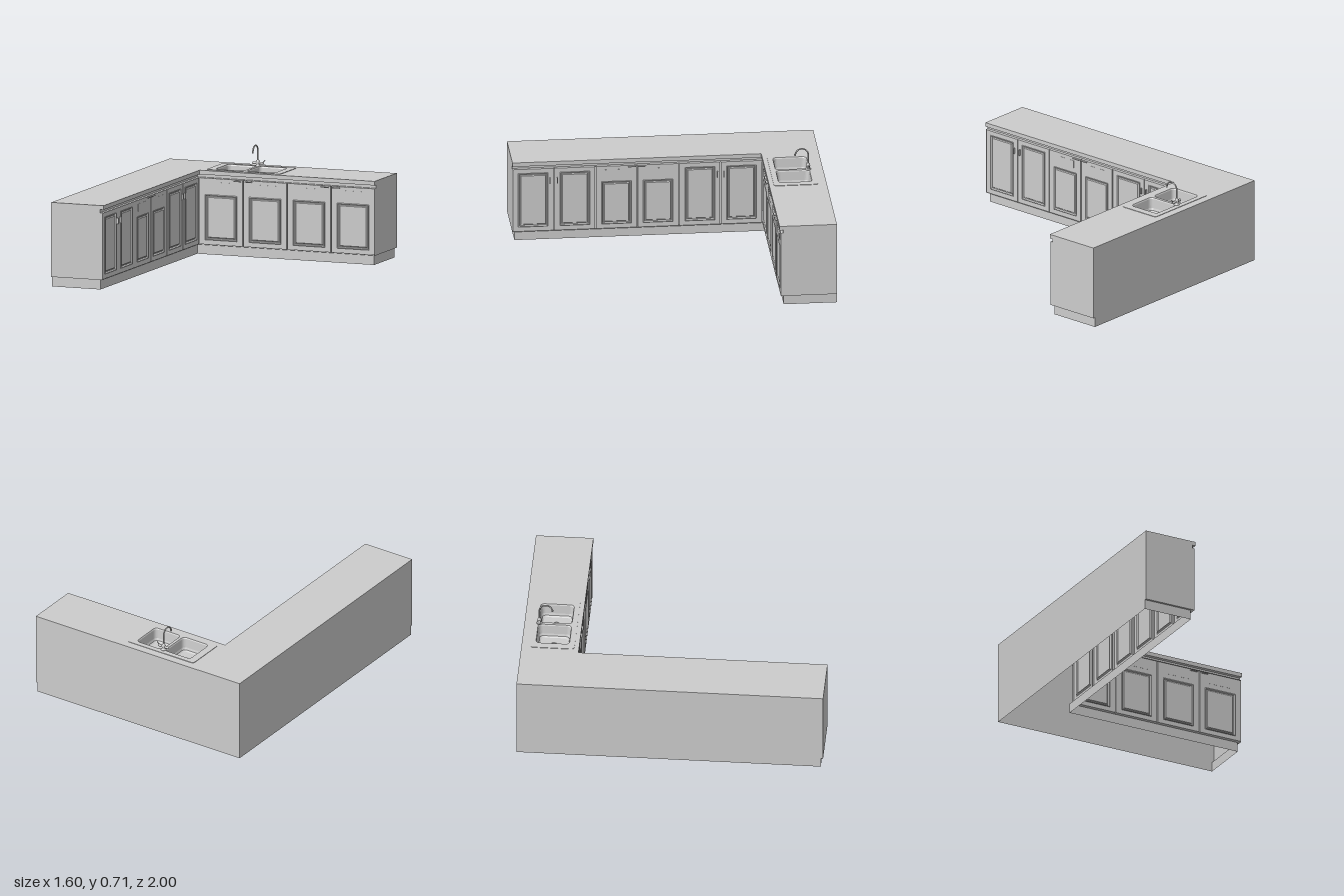
import * as THREE from 'three';

const material = new THREE.MeshStandardMaterial({ color: 0xcccccc, side: THREE.DoubleSide });
const V = (x, y, z) => new THREE.Vector3(x, y, z);

function add(parent, name, geometry, x = 0, y = 0, z = 0) {
  const mesh = new THREE.Mesh(geometry, material);
  mesh.name = name;
  mesh.position.set(x, y, z);
  parent.add(mesh);
  return mesh;
}

// Skin of flat quads between equal-length closed rings; skip(row, edge) leaves openings.
function loft(rings, skip = () => false) {
  const pos = [];
  for (let r = 0; r < rings.length - 1; r++) {
    const a = rings[r], b = rings[r + 1], n = a.length;
    for (let i = 0; i < n; i++) {
      if (skip(r, i)) continue;
      const j = (i + 1) % n;
      for (const p of [a[i], a[j], b[j], a[i], b[j], b[i]]) pos.push(p.x, p.y, p.z);
    }
  }
  const g = new THREE.BufferGeometry();
  g.setAttribute('position', new THREE.Float32BufferAttribute(pos, 3));
  g.computeVertexNormals();
  return g;
}

// L-shaped plan: f sets the inner fronts back, e sets the two free ends back.
const plan = (f, e) => [
  [-0.8, -1], [0.8 - e, -1], [0.8 - e, -0.625 - f],
  [-0.432 - f, -0.625 - f], [-0.432 - f, 1 - e], [-0.8, 1 - e],
];

// Rounded rectangle as 2D points (x, -z)
function roundRect(x0, x1, z0, z1, r, steps = 5) {
  const pts = [];
  const corners = [[x1 - r, -z0 - r], [x0 + r, -z0 - r], [x0 + r, -z1 + r], [x1 - r, -z1 + r]];
  corners.forEach(([cx, cy], k) => {
    for (let i = 0; i <= steps; i++) {
      const a = (k + i / steps) * Math.PI / 2;
      pts.push(new THREE.Vector2(cx + r * Math.cos(a), cy + r * Math.sin(a)));
    }
  });
  return pts;
}

function flatSheet(outline, holes) {
  const shape = new THREE.Shape(outline);
  shape.holes = holes.map((h) => new THREE.Path(h));
  return new THREE.ShapeGeometry(shape).rotateX(-Math.PI / 2);
}

// Cabinet door pressed from one sheet, with a moulded frame around its panel
function doorGeometry(x0, x1, panelTop) {
  const rect = (a, b, c, d, i, z) =>
    [V(a + i, c + i, z), V(b - i, c + i, z), V(b - i, d - i, z), V(a + i, d - i, z)];
  const outer = (i, z) => rect(x0, x1, 0.065, 0.507, i, z);
  const side = (x1 - x0) * 0.14;
  const panel = (i, z) => rect(x0 + side, x1 - side, 0.098, panelTop, i, z);
  const mid = V((x0 + x1) / 2, (0.098 + panelTop) / 2, -0.001);
  return loft([
    outer(0, -0.012), outer(0.003, -0.012), outer(0.003, 0),
    panel(0, 0), panel(0.004, 0.003), panel(0.009, -0.007),
    panel(0.014, -0.007), panel(0.019, -0.001), [mid, mid, mid, mid],
  ]);
}

// Row of doors facing local +z
function doorRow(name, start, width, count, hasDrawer) {
  const row = new THREE.Group();
  row.name = name;
  for (let i = 0; i < count; i++) {
    const x0 = start + i * width, x1 = x0 + width, drawer = hasDrawer(i);
    add(row, 'door', doorGeometry(x0, x1, drawer ? 0.397 : 0.475));
    if (drawer) {
      add(row, 'drawerPlate', new THREE.BoxGeometry(width * 0.55, 0.05, 0.002), (x0 + x1) / 2, 0.455, 0);
    }
  }
  return row;
}

function createFaucet() {
  const faucet = new THREE.Group();
  faucet.name = 'faucet';
  const profile = [[0, 0], [0.02, 0], [0.018, 0.005], [0.01, 0.01], [0.012, 0.018],
    [0.014, 0.03], [0.009, 0.042], [0.005, 0.047], [0, 0.047]];
  add(faucet, 'faucetBase', new THREE.LatheGeometry(profile.map(([x, y]) => new THREE.Vector2(x, y)), 20));

  // Gooseneck spout
  const path = [V(0, 0.03, 0), V(0, 0.075, 0), V(0, 0.105, 0)];
  for (let i = 1; i <= 8; i++) {
    const a = Math.PI * (1 - i / 8 * 0.95);
    path.push(V(0, 0.105 + 0.041 * Math.sin(a), 0.042 + 0.042 * Math.cos(a)));
  }
  path.push(V(0, 0.104, 0.086));
  add(faucet, 'spout', new THREE.TubeGeometry(new THREE.CatmullRomCurve3(path), 40, 0.005, 10));
  add(faucet, 'spoutTip', new THREE.CylinderGeometry(0.006, 0.006, 0.012, 12), 0, 0.106, 0.085);

  // Cross valve with a lever
  add(faucet, 'valve', new THREE.CylinderGeometry(0.008, 0.008, 0.066, 14).rotateZ(Math.PI / 2), 0, 0.024, 0);
  for (const s of [-1, 1]) add(faucet, 'valveCap', new THREE.SphereGeometry(0.009, 12, 8), s * 0.032, 0.024, 0);
  const lever = add(faucet, 'lever', new THREE.CylinderGeometry(0.003, 0.004, 0.034, 10), 0.04, 0.034, 0);
  lever.rotation.z = -0.75;
  return faucet;
}

export function createModel() {
  const model = new THREE.Group();
  model.name = 'cornerKitchenCounter';

  // Hollow carcass with toe kick, shadow groove and worktop edge: [y, front inset, end inset]
  const levels = [
    [0, 0.028, 0.015], [0.065, 0.028, 0.015], [0.065, 0.008, 0], [0.507, 0.008, 0],
    [0.507, 0.024, 0], [0.528, 0.024, 0], [0.528, 0, 0], [0.555, 0, 0],
  ];
  const rings = levels.map(([y, f, e]) => plan(f, e).map(([x, z]) => V(x, y, z)));
  add(model, 'carcass', loft(rings, (row, edge) => row === 2 && (edge === 2 || edge === 3)));

  // Worktop with the sink cut-out
  const top = plan(0, 0).map(([x, z]) => new THREE.Vector2(x, -z));
  add(model, 'worktop', flatSheet(top, [roundRect(-0.36, 0.08, -0.915, -0.68, 0.03)]), 0, 0.555, 0);

  // Doors of both wings
  const backDoors = doorRow('backWingDoors', -0.44, 0.31, 4, () => true);
  backDoors.position.z = -0.633;
  const sideDoors = doorRow('sideWingDoors', -1, 0.2722, 6, (i) => i === 2 || i === 3);
  sideDoors.position.x = -0.44;
  sideDoors.rotation.y = Math.PI / 2;
  model.add(backDoors, sideDoors);

  // Pull handles
  const flatPull = new THREE.BoxGeometry(0.05, 0.005, 0.012);
  const uprightPull = new THREE.BoxGeometry(0.005, 0.04, 0.012);
  for (const x of [-0.168, -0.09, 0.447, 0.527]) add(backDoors, 'pullHandle', flatPull, x, 0.495, 0.006);
  for (const x of [-0.22, -0.155]) add(sideDoors, 'pullHandle', flatPull, x, 0.498, 0.006);
  for (const x of [-0.755, -0.707, 0.34, 0.382]) add(sideDoors, 'pullHandle', uprightPull, x, 0.42, 0.006);

  // Double sink: rim, two basins and drains
  const sink = new THREE.Group();
  sink.name = 'sink';
  const basins = [[-0.35, -0.15], [-0.13, 0.07]];
  const [z0, z1] = [-0.91, -0.69];
  const rimOutline = roundRect(-0.4, 0.12, -0.945, -0.655, 0.02);
  add(sink, 'rim', flatSheet(rimOutline, basins.map(([a, b]) => roundRect(a, b, z0, z1, 0.025))), 0, 0.558, 0);
  add(sink, 'rimEdge', loft([0.555, 0.558].map((y) => rimOutline.map((p) => V(p.x, y, -p.y)))));
  for (const [a, b] of basins) {
    // [y, inset] down the basin wall to the floor
    const steps = [[0.558, 0], [0.55, 0.004], [0.49, 0.008], [0.475, 0.013], [0.468, 0.024]];
    const walls = steps.map(([y, i]) =>
      roundRect(a + i, b - i, z0 + i, z1 - i, 0.025).map((p) => V(p.x, y, -p.y)));
    const cx = (a + b) / 2, cz = (z0 + z1) / 2;
    walls.push(walls[4].map(() => V(cx, 0.466, cz)));
    add(sink, 'basin', loft(walls));
    add(sink, 'drainRing', new THREE.TorusGeometry(0.025, 0.003, 6, 24).rotateX(Math.PI / 2), cx, 0.468, cz);
    add(sink, 'drainPlug', new THREE.CylinderGeometry(0.012, 0.014, 0.004, 16), cx, 0.469, cz);
  }
  model.add(sink);

  const faucet = createFaucet();
  faucet.position.set(-0.138, 0.556, -0.903);
  model.add(faucet);
  return model;
}
